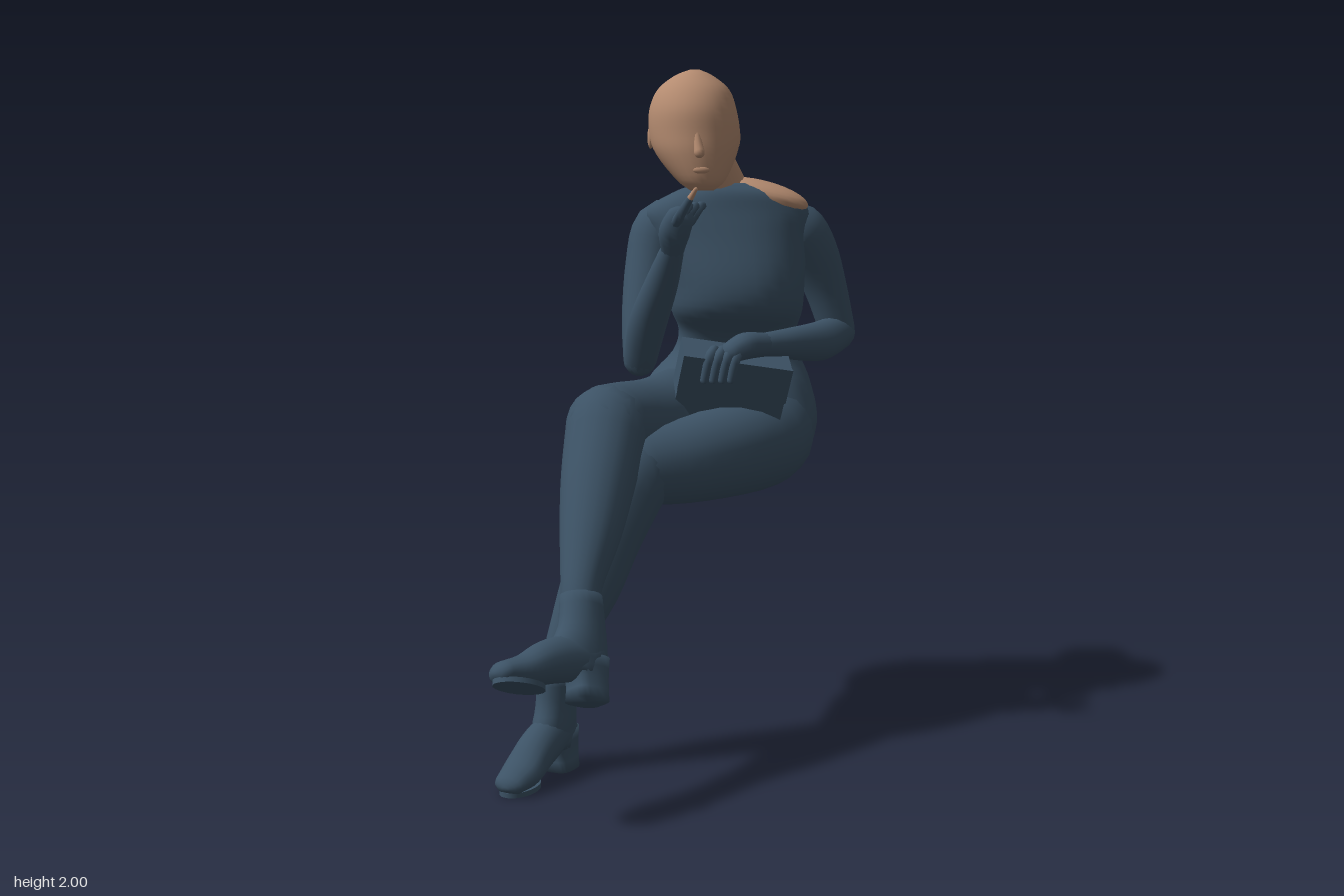
import * as THREE from 'three';

const V = (x, y, z) => new THREE.Vector3(x, y, z);

// Skin a list of equal-length rings (counter-clockwise about the path) and close both ends
function loft(rings) {
  const n = rings[0].length, pos = [], idx = [];
  rings.forEach(r => r.forEach(p => pos.push(p.x, p.y, p.z)));
  for (let i = 0; i < rings.length - 1; i++) for (let j = 0; j < n; j++) {
    const k = (j + 1) % n, a = i * n + j, b = i * n + k, c = a + n, d = b + n;
    idx.push(a, b, c, b, d, c);
  }
  [0, rings.length - 1].forEach((e, s) => {
    const m = rings[e].reduce((t, p) => t.add(p), V(0, 0, 0)).divideScalar(n);
    const c = pos.length / 3;
    pos.push(m.x, m.y, m.z);
    for (let j = 0; j < n; j++) {
      const a = e * n + j, b = e * n + (j + 1) % n;
      s ? idx.push(a, b, c) : idx.push(b, a, c);
    }
  });
  const g = new THREE.BufferGeometry();
  g.setAttribute('position', new THREE.Float32BufferAttribute(pos, 3));
  g.setIndex(idx);
  g.computeVertexNormals();
  return g;
}

// Stacked level sections: [y, x0, x1, z0, z1] extents, smoothed between rows
function stack(rows, power = 1, n = 28, steps = 4) {
  const c = new THREE.CatmullRomCurve3(rows.map(r => V(r[0], r[1], r[2])), false, 'catmullrom');
  const d = new THREE.CatmullRomCurve3(rows.map(r => V(r[3], r[4], 0)), false, 'catmullrom');
  const rings = [], count = (rows.length - 1) * steps;
  const bend = v => Math.sign(v) * Math.abs(v) ** power;
  for (let i = 0; i <= count; i++) {
    const p = c.getPoint(i / count), q = d.getPoint(i / count), ring = [];
    for (let j = 0; j < n; j++) {
      const a = j / n * Math.PI * 2;
      ring.push(V((p.y + p.z) / 2 + (p.z - p.y) / 2 * bend(Math.cos(a)), p.x,
        (q.x + q.y) / 2 - (q.y - q.x) / 2 * bend(Math.sin(a))));
    }
    rings.push(ring);
  }
  return loft(rings);
}

// Rounded limb along points [x, y, z, radius, second radius]
function limb(pts, n = 16, ref = V(0.31, 0.2, 0.93)) {
  const c = new THREE.CatmullRomCurve3(pts.map(p => V(p[0], p[1], p[2])), false, 'catmullrom');
  const r = new THREE.CatmullRomCurve3(pts.map(p => V(p[3], p[4] ?? p[3], 0)), false, 'catmullrom');
  const count = (pts.length - 1) * 4, rings = [];
  const ring = (t, push, scale) => {
    const T = c.getTangent(t), U = V(0, 0, 0).crossVectors(ref, T).normalize();
    const W = V(0, 0, 0).crossVectors(T, U), R = r.getPoint(t);
    const o = c.getPoint(t).addScaledVector(T, push * Math.min(R.x, R.y));
    rings.push(Array.from({ length: n }, (_, j) => {
      const a = j / n * Math.PI * 2;
      return o.clone().addScaledVector(U, Math.cos(a) * R.x * scale).addScaledVector(W, Math.sin(a) * R.y * scale);
    }));
  };
  for (const a of [1.35, 0.9, 0.45]) ring(0, -Math.sin(a), Math.cos(a));
  for (let i = 0; i <= count; i++) ring(i / count, 0, 1);
  for (const a of [0.45, 0.9, 1.35]) ring(1, Math.sin(a), Math.cos(a));
  return loft(rings);
}

export function createModel() {
  const model = new THREE.Group();
  const blue = new THREE.MeshStandardMaterial({ color: 0x3c5265 });
  blue.name = 'slate blue';
  const skin = new THREE.MeshStandardMaterial({ color: 0xb48b70 });
  skin.name = 'skin';
  const add = (name, geo, mat = blue, parent = model) => {
    const m = new THREE.Mesh(geo, mat);
    m.name = name;
    parent.add(m);
    return m;
  };
  const ball = (name, mat, p, s) => {
    const m = add(name, new THREE.SphereGeometry(1, 20, 14), mat);
    m.position.set(...p);
    m.scale.set(...s);
    return m;
  };

  // Torso from seat to collar, with the bust swelling over a narrow waist
  add('torso', stack([
    [0.745, 0.04, 0.27, -0.57, -0.25], [0.80, -0.08, 0.37, -0.665, -0.18],
    [0.93, -0.14, 0.42, -0.705, -0.17], [1.05, -0.11, 0.40, -0.68, -0.24],
    [1.14, -0.03, 0.365, -0.655, -0.31], [1.21, -0.01, 0.355, -0.64, -0.285],
    [1.28, -0.035, 0.37, -0.62, -0.215], [1.37, -0.045, 0.375, -0.593, -0.205],
    [1.5, -0.09, 0.38, -0.545, -0.24], [1.58, -0.11, 0.385, -0.5, -0.262],
    [1.635, -0.03, 0.33, -0.455, -0.275], [1.665, 0.05, 0.21, -0.425, -0.30]], 0.88, 32));

  // Bare neck and shoulder at the open neckline
  add('neck', limb([[0.06, 1.76, -0.32, 0.075], [0.105, 1.67, -0.36, 0.078], [0.13, 1.60, -0.39, 0.09]]), skin);
  const shoulder = ball('bareShoulder', skin, [0.24, 1.628, -0.368], [0.145, 0.044, 0.085]);
  shoulder.rotation.set(0, -0.15, -0.24);

  // Head with nose, lips, ears and a gathered bun
  add('head', stack([
    [1.645, 0.02, 0.09, -0.25, -0.175], [1.675, -0.02, 0.125, -0.33, -0.148],
    [1.75, -0.08, 0.16, -0.415, -0.14], [1.81, -0.10, 0.17, -0.445, -0.145],
    [1.88, -0.10, 0.16, -0.45, -0.155], [1.94, -0.075, 0.138, -0.415, -0.19],
    [1.98, -0.025, 0.09, -0.36, -0.24], [1.998, 0.02, 0.05, -0.31, -0.285]]), skin);
  add('nose', limb([[0.038, 1.81, -0.155, 0.01], [0.042, 1.775, -0.145, 0.014], [0.045, 1.755, -0.138, 0.016]], 10), skin);
  ball('lips', skin, [0.05, 1.705, -0.15], [0.026, 0.012, 0.011]);
  for (const x of [-0.096, 0.162]) ball('ear', skin, [x, 1.80, -0.31], [0.01, 0.034, 0.022]);
  add('bun', limb([[0.042, 1.83, -0.42, 0.07, 0.08], [0.045, 1.82, -0.47, 0.085, 0.085],
    [0.045, 1.79, -0.52, 0.1, 0.084]], 20), skin);
  ball('bunTop', skin, [0.04, 1.85, -0.48], [0.075, 0.058, 0.07]);
  ball('bunBottom', skin, [0.045, 1.755, -0.52], [0.08, 0.065, 0.065]);

  // Right arm, raised from the lap
  add('rightUpperArm', limb([[0.0, 1.54, -0.4, 0.065], [-0.065, 1.525, -0.41, 0.084], [-0.098, 1.42, -0.38, 0.076],
    [-0.12, 1.26, -0.31, 0.065], [-0.13, 1.14, -0.25, 0.05]]));
  add('rightForearm', limb([[-0.13, 1.14, -0.25, 0.05], [-0.105, 1.26, -0.18, 0.056],
    [-0.065, 1.38, -0.1, 0.048], [-0.035, 1.48, -0.03, 0.034]]));
  add('rightHand', limb([[-0.035, 1.48, -0.03, 0.034], [-0.03, 1.53, 0, 0.046, 0.04], [-0.015, 1.57, 0.02, 0.042, 0.036]], 12));
  add('rightIndexFinger', limb([[-0.025, 1.56, 0.04, 0.016], [-0.01, 1.59, 0.085, 0.014], [0.01, 1.625, 0.105, 0.011]], 8));
  add('rightFingertip', limb([[0.01, 1.625, 0.105, 0.01], [0.028, 1.655, 0.118, 0.006]], 8), skin);
  for (let i = 0; i < 3; i++) {
    const x = -0.02 + i * 0.018, z = 0.035 - i * 0.025;
    add('rightCurledFinger', limb([[x, 1.56, z, 0.014], [x + 0.025, 1.6, z, 0.014],
      [x + 0.035, 1.605, z - 0.03, 0.012]], 8));
  }

  // Left arm, bent across the lap
  add('leftUpperArm', limb([[0.3, 1.525, -0.4, 0.065], [0.35, 1.52, -0.41, 0.086], [0.40, 1.45, -0.428, 0.08],
    [0.445, 1.34, -0.45, 0.066], [0.485, 1.205, -0.465, 0.055]]));
  add('leftForearm', limb([[0.485, 1.2, -0.465, 0.055], [0.415, 1.185, -0.34, 0.06],
    [0.32, 1.19, -0.22, 0.048], [0.235, 1.195, -0.145, 0.035]]));
  add('leftHand', limb([[0.235, 1.195, -0.145, 0.036], [0.18, 1.195, -0.11, 0.04, 0.045], [0.14, 1.18, -0.085, 0.035, 0.042]], 12));
  for (let i = 0; i < 4; i++) {
    const x = 0.165 - i * 0.026;
    add('leftFinger', limb([[x, 1.185, -0.085, 0.016], [x - 0.015, 1.165, -0.058, 0.015], [x - 0.03, 1.1, -0.067, 0.012]], 8));
  }

  // Clutch bag resting on the lap
  const bag = new THREE.Group();
  bag.name = 'clutchBag';
  bag.position.set(0.137, 1.08, -0.157);
  bag.rotation.set(0.35, 0.05, -0.18);
  model.add(bag);
  add('bagBody', new THREE.BoxGeometry(0.32, 0.2, 0.12), blue, bag);
  add('bagFlap', new THREE.BoxGeometry(0.325, 0.11, 0.009), blue, bag).position.set(0, 0.045, 0.064);

  // Left leg underneath, right leg crossed over it
  add('leftThigh', limb([[0.26, 0.92, -0.46, 0.15], [0.23, 0.895, -0.27, 0.15],
    [0.04, 0.87, -0.07, 0.128], [-0.13, 0.86, 0.035, 0.11]], 20));
  add('leftShin', limb([[-0.14, 0.85, 0.045, 0.11], [-0.215, 0.68, 0.075, 0.096],
    [-0.275, 0.52, 0.095, 0.086], [-0.34, 0.37, 0.13, 0.06], [-0.37, 0.28, 0.145, 0.05]], 20));
  add('rightThigh', limb([[0.03, 0.95, -0.42, 0.16], [-0.09, 0.95, -0.2, 0.142],
    [-0.18, 0.975, -0.03, 0.125], [-0.222, 0.985, 0.05, 0.118]], 20));
  add('rightShin', limb([[-0.222, 0.985, 0.05, 0.118], [-0.245, 0.85, 0.165, 0.106],
    [-0.265, 0.72, 0.275, 0.086], [-0.285, 0.61, 0.37, 0.06], [-0.29, 0.55, 0.41, 0.052]], 20));

  // Block-heeled ankle boots, placed by heel point, upright and toe directions
  const boot = (name, p, up, toe) => {
    const g = new THREE.Group(), Y = V(...up).normalize();
    const X = V(0, 0, 0).crossVectors(Y, V(...toe)).normalize();
    const Z = V(0, 0, 0).crossVectors(X, Y);
    g.name = name;
    g.setRotationFromMatrix(new THREE.Matrix4().makeBasis(X, Y, Z));
    g.position.set(...p);
    model.add(g);
    add('shaft', stack([[0.07, -0.046, 0.046, -0.058, 0.09], [0.13, -0.053, 0.053, -0.064, 0.115],
      [0.2, -0.053, 0.053, -0.056, 0.085], [0.29, -0.056, 0.056, -0.043, 0.076]], 1, 18, 3), blue, g);
    add('foot', limb([[0, 0.12, -0.01, 0.05, 0.045], [0, 0.108, 0.06, 0.054, 0.062], [0, 0.085, 0.13, 0.058, 0.058],
      [0, 0.05, 0.2, 0.06, 0.045], [0, 0.034, 0.265, 0.048, 0.031]], 16, V(0, 1, 0.05)), blue, g);
    add('heel', stack([[0, -0.05, 0.05, -0.055, 0.05], [0.06, -0.046, 0.046, -0.055, 0.05],
      [0.12, -0.05, 0.05, -0.06, 0.085]], 0.6, 20, 2), blue, g);
    const sole = add('sole', new THREE.CylinderGeometry(1, 1, 0.014, 20), blue, g);
    sole.position.set(0, 0.008, 0.215);
    sole.scale.set(0.05, 1, 0.076);
  };
  boot('leftBoot', [-0.365, 0, 0.125], [0, 1, 0], [-0.14, 0, 0.27]);
  boot('rightBoot', [-0.27, 0.322, 0.545], [-0.005, 0.26, -0.17], [-0.27, 0.13, 0.17]);
  return model;
}
